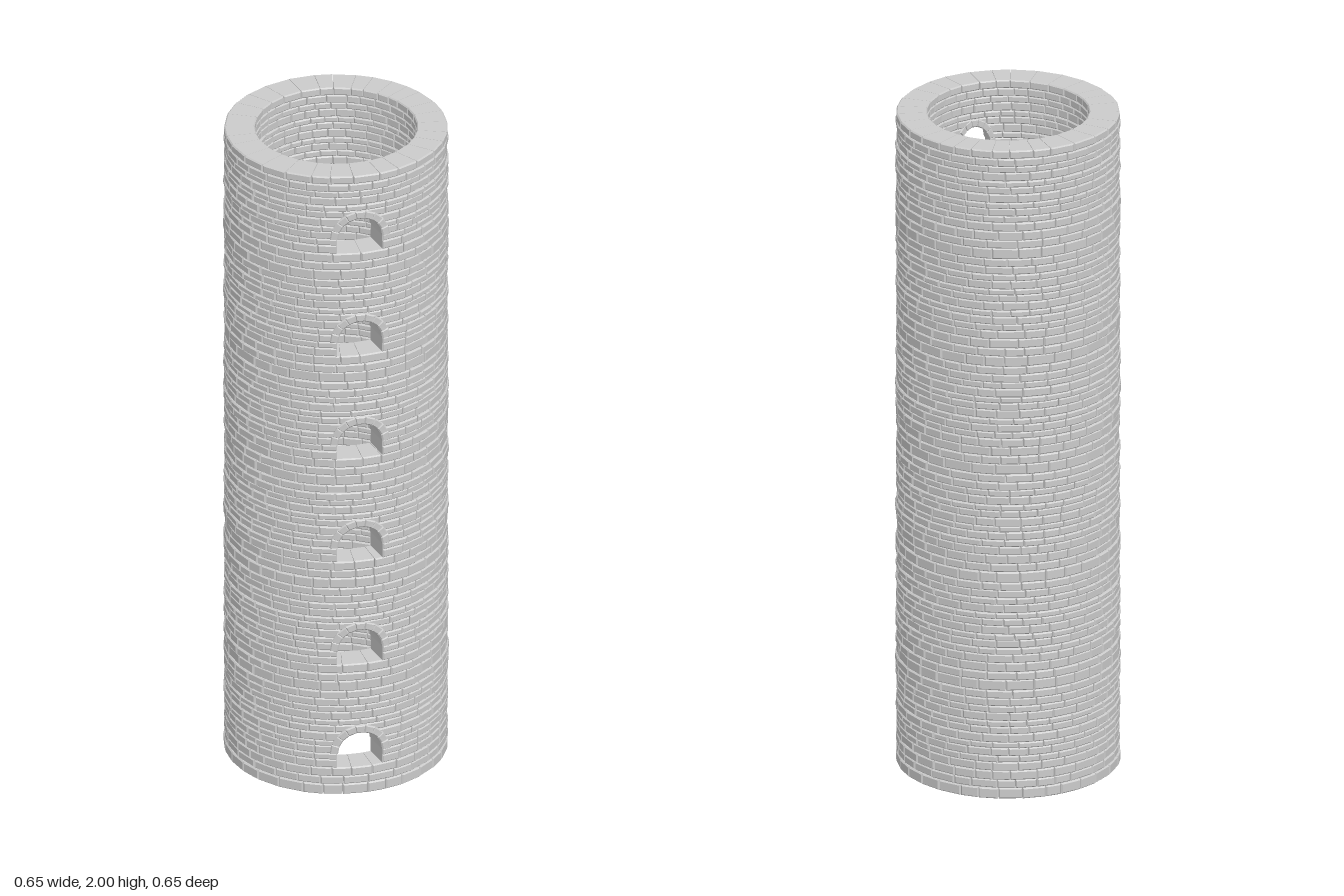
import * as THREE from 'three';

const R_OUT = 0.325, R_IN = 0.233;
const SECTIONS = 6, SECTION_H = 2 / SECTIONS;
const WINDOW_ANGLE = -0.022 / R_OUT; // angle from +z towards +x
const SILL = 0.085, SPRING = 0.131, OPENING = 0.068, ARCH = 0.09;
const BEVEL = 0.0035;
// course heights of one section; the first three end at the sill
const COURSES = [0.032, 0.025, 0.028, 0.026, 0.02, 0.024, 0.018, 0.026, 0.022, 0.018, 0.026, 0.02, 0.024, 0.0243];

let seed = 7;
const rand = () => (seed = (seed * 16807) % 2147483647) / 2147483647;

// Bevelled stone: a (u, v) rectangle lofted outward along r and placed by map(u, v, r)
function addStone(out, map, u0, u1, v0, v1, rIn, rOut, insetU, insetV) {
  const levels = [[rIn, 1], [rIn + BEVEL, 0], [rOut - BEVEL, 0], [rOut, 1]].map(([r, k]) => {
    const a = insetU * k, b = insetV * k;
    return [
      map(u0 + a, v0 + b, r), map(u1 - a, v0 + b, r),
      map(u1 - a, v1 - b, r), map(u0 + a, v1 - b, r),
    ];
  });
  const quad = (a, b, c, d) => out.push(...a, ...b, ...c, ...a, ...c, ...d);
  for (let k = 0; k < 3; k++) {
    for (let i = 0; i < 4; i++) {
      const j = (i + 1) % 4;
      quad(levels[k][i], levels[k][j], levels[k + 1][j], levels[k + 1][i]);
    }
  }
  const [inner, , , outer] = levels;
  quad(...outer);
  quad(inner[3], inner[2], inner[1], inner[0]);
}

const onWall = (angle, y, r) => [r * Math.sin(angle), y, r * Math.cos(angle)];

function toMesh(positions, name, material) {
  const geometry = new THREE.BufferGeometry();
  geometry.setAttribute('position', new THREE.Float32BufferAttribute(positions, 3));
  geometry.computeVertexNormals();
  const mesh = new THREE.Mesh(geometry, material);
  mesh.name = name;
  return mesh;
}

// Half width of the window gap for a course starting at height y in its section
function gapAt(y) {
  if (y < SILL - 0.001) return 0;
  if (y <= SPRING) return OPENING;
  return Math.sqrt(Math.max(0, OPENING ** 2 - (y - SPRING) ** 2));
}

// One ring of wedge-shaped bricks, left open at the window
function addCourse(out, y, height, gap) {
  const half = gap / R_OUT;
  const start = gap ? WINDOW_ANGLE + half : rand() * Math.PI * 2;
  const span = Math.PI * 2 - half * 2;
  const count = 28 + Math.floor(rand() * 4);
  const widths = Array.from({ length: count }, () => 0.75 + rand() * 0.5);
  const unit = span / widths.reduce((a, b) => a + b, 0);
  const courseOut = R_OUT - rand() * 0.004, courseIn = R_IN + rand() * 0.003;
  let angle = start;
  for (const w of widths) {
    const next = angle + w * unit;
    addStone(out, onWall, angle + 0.002, next - 0.002, y, y + height,
      courseIn, courseOut - rand() * 0.002, BEVEL / 0.3, BEVEL);
    angle = next;
  }
}

// Half ring of voussoirs bent around the wall
function addArch(out, baseY) {
  const spring = baseY + SPRING, count = 9, step = Math.PI / count;
  const onArch = (u, v, r) =>
    onWall(WINDOW_ANGLE + (v * Math.cos(u)) / R_OUT, spring - v * Math.sin(u), r);
  for (let i = 0; i < count; i++) {
    const u = -Math.PI + i * step;
    addStone(out, onArch, u, u + step, OPENING - 0.002, ARCH, R_IN - 0.001, R_OUT + 0.001, 0.03, BEVEL);
  }
}

export function createModel() {
  const tower = new THREE.Group();
  tower.name = 'stoneTower';
  const stone = new THREE.MeshStandardMaterial({ color: 0xcccccc, flatShading: true });

  for (let s = 0; s < SECTIONS; s++) {
    const section = new THREE.Group();
    section.name = `towerSection${s + 1}`;
    const bricks = [], arch = [];
    let y = 0;
    COURSES.forEach((h, i) => {
      const top = i === COURSES.length - 1 ? SECTION_H : y + h;
      addCourse(bricks, s * SECTION_H + y, top - y, gapAt(y));
      y = top;
    });
    addArch(arch, s * SECTION_H);
    section.add(toMesh(bricks, 'brickCourses', stone), toMesh(arch, 'windowArch', stone));
    tower.add(section);
  }
  return tower;
}
